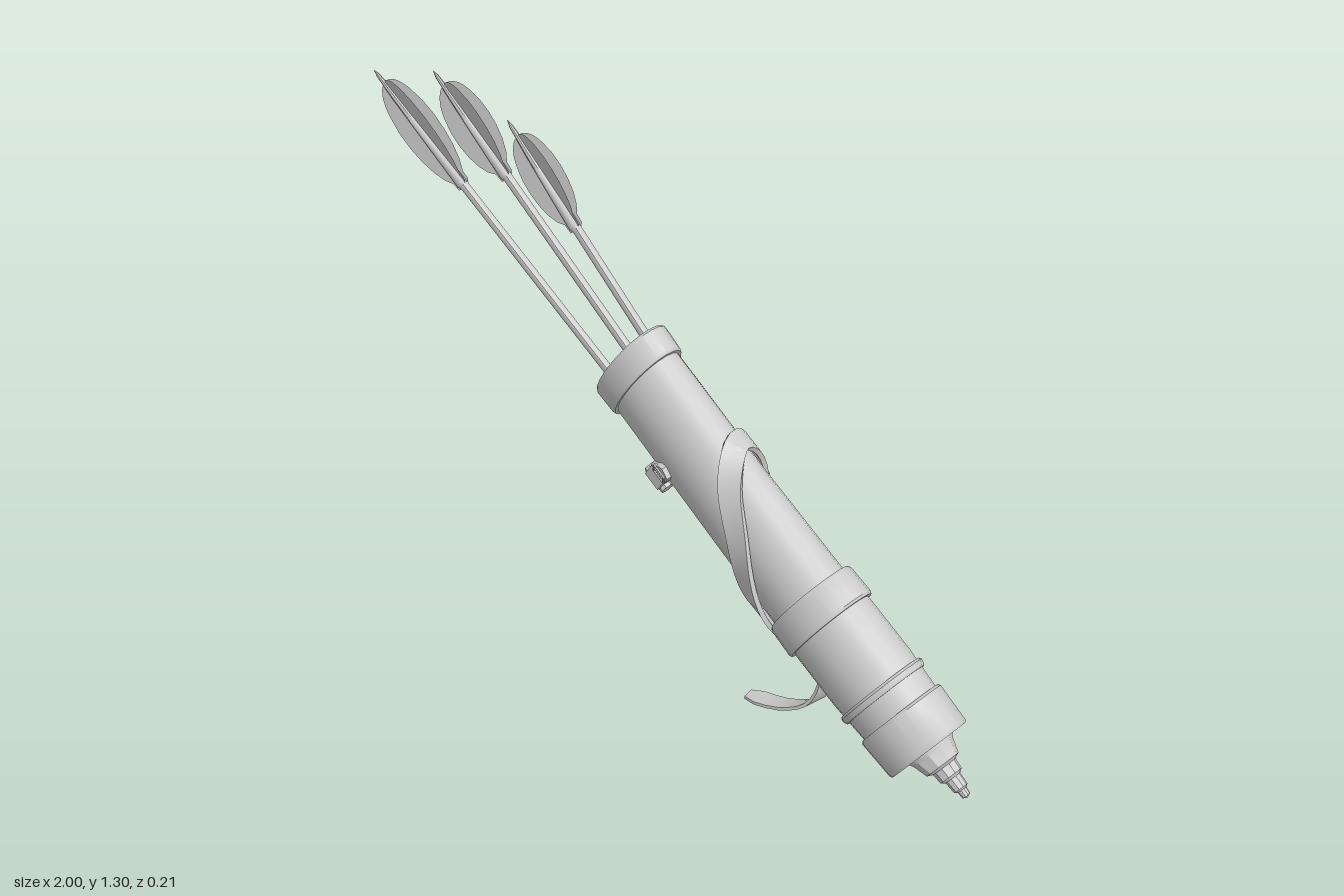
import * as THREE from 'three';
import { toCreasedNormals } from 'three/addons/utils/BufferGeometryUtils.js';

const V = (x, y, z) => new THREE.Vector3(x, y, z);
const mat = new THREE.MeshStandardMaterial({ color: 0xcccccc, side: THREE.DoubleSide });

function add(parent, name, geo, crease = 0.6) {
  const mesh = new THREE.Mesh(toCreasedNormals(geo, crease), mat);
  mesh.name = name;
  parent.add(mesh);
  return mesh;
}

// The quiver is oval: rounder at the base, flatter at the mouth
const flat = y => 0.82 - 0.2 * y / 1.12;
const sag = y => -0.008 * Math.sin(Math.PI * Math.min(Math.max(y / 1.1, 0), 1));

function ovalLathe(profile, segments = 22) {
  const geo = new THREE.LatheGeometry(profile.map(p => new THREE.Vector2(...p)), segments);
  const p = geo.attributes.position;
  for (let i = 0; i < p.count; i++) {
    const y = p.getY(i);
    p.setXYZ(i, p.getX(i) + sag(y), y, p.getZ(i) * flat(y));
  }
  return geo;
}

// Strip with a rectangular section swept along points, facing the given normals
function ribbon(points, normals, width, thick) {
  const pos = [], idx = [], n = points.length;
  points.forEach((p, i) => {
    const t = points[Math.min(i + 1, n - 1)].clone().sub(points[Math.max(i - 1, 0)]).normalize();
    const w = t.clone().cross(normals[i]).normalize();
    const up = w.clone().cross(t).normalize();
    const taper = i === 0 || i === n - 1 ? 0.6 : 1;
    for (const [a, b] of [[1, 1], [-1, 1], [-1, -1], [1, -1]]) {
      const c = p.clone().addScaledVector(w, a * taper * width / 2).addScaledVector(up, b * thick / 2);
      pos.push(c.x, c.y, c.z);
    }
  });
  for (let i = 0; i < n - 1; i++) {
    for (let j = 0; j < 4; j++) {
      const a = i * 4 + j, b = i * 4 + (j + 1) % 4;
      idx.push(a, a + 4, b, b, a + 4, b + 4);
    }
  }
  const e = (n - 1) * 4;
  idx.push(0, 1, 2, 0, 2, 3, e, e + 2, e + 1, e, e + 3, e + 2);
  const geo = new THREE.BufferGeometry();
  geo.setAttribute('position', new THREE.Float32BufferAttribute(pos, 3));
  geo.setIndex(idx);
  return geo;
}

// Point and outward normal on the quiver wall at angle a and height y
function onWall(a, y, r) {
  const k = flat(y);
  return [V(r * Math.cos(a) + sag(y), y, r * k * Math.sin(a)), V(Math.cos(a), 0, Math.sin(a) / k).normalize()];
}

// Strap lying on the wall through [angle, height] stations
function wallStrap(stations, r, width, thick, steps) {
  const curve = new THREE.CatmullRomCurve3(stations.map(([a, y]) => V(a, y, 0)));
  const pts = [], nor = [];
  for (let i = 0; i <= steps; i++) {
    const s = curve.getPoint(i / steps), [p, n] = onWall(s.x, s.y, r);
    pts.push(p);
    nor.push(n);
  }
  return ribbon(pts, nor, width, thick);
}

// Square buckle frame with a prong
function buckle(parent, a, y, r, size) {
  const g = new THREE.Group();
  g.name = 'buckle';
  const [p, n] = onWall(a, y, r);
  g.position.copy(p);
  g.quaternion.setFromUnitVectors(V(0, 0, 1), n);
  const frame = new THREE.TorusGeometry(size, size * 0.2, 6, 4);
  frame.rotateZ(Math.PI / 4);
  add(g, 'buckleFrame', frame);
  add(g, 'bucklePin', new THREE.BoxGeometry(size * 0.25, size * 1.5, size * 0.3));
  parent.add(g);
}

// Arrow from its hidden end to its nock, with leaf-shaped feathers
function arrow(parent, from, nock, vaneLength, halfWidth) {
  const g = new THREE.Group();
  g.name = 'arrow';
  const d = nock.clone().sub(from), L = d.length();
  g.position.copy(from);
  g.quaternion.setFromUnitVectors(V(0, 1, 0), d.normalize());
  const shaft = new THREE.LatheGeometry([
    [0, 0], [0.012, 0.005], [0.012, L - vaneLength - 0.05], [0.016, L - vaneLength - 0.04],
    [0.015, L - vaneLength], [0.009, L - 0.1], [0.005, L - 0.02], [0, L],
  ].map(p => new THREE.Vector2(...p)), 8);
  add(g, 'shaft', shaft, 0.9);

  const leaf = new THREE.Shape();
  leaf.moveTo(0, 0);
  leaf.lineTo(0.022, 0.005);
  leaf.lineTo(0.024, 0.03);
  leaf.bezierCurveTo(halfWidth * 0.9, vaneLength * 0.2, halfWidth * 1.2, vaneLength * 0.55, halfWidth * 0.85, vaneLength * 0.8);
  leaf.quadraticCurveTo(halfWidth * 0.65, vaneLength * 0.96, 0.012, vaneLength);
  leaf.lineTo(0, vaneLength);
  for (const angle of [-0.25, 0.25, Math.PI - 0.25, Math.PI + 0.25]) {
    const vane = add(g, 'feather', new THREE.ShapeGeometry(leaf, 6));
    vane.position.y = L - vaneLength - 0.05;
    vane.rotation.y = angle;
  }
  parent.add(g);
}

export function createModel() {
  const model = new THREE.Group();
  model.name = 'quiverWithArrows';

  // Quiver, built upright from the base and then leaned
  const quiver = new THREE.Group();
  quiver.name = 'quiver';
  quiver.position.set(0.88, 0.15, 0);
  quiver.rotation.z = 0.976;
  model.add(quiver);

  // Hollow case
  add(quiver, 'case', ovalLathe([
    [0, 0], [0.1, 0], [0.112, 0.1], [0.12, 0.2], [0.122, 0.34], [0.116, 0.44],
    [0.116, 0.7], [0.121, 1.1], [0.11, 1.1], [0.104, 0.6], [0, 0.6],
  ]));

  // Bands: [name, bottom, top, radius below, radius above]
  const bands = [
    ['baseCap', -0.002, 0.1, 0.117, 0.123],
    ['lowerBand', 0.15, 0.17, 0.126, 0.128],
    ['middleBand', 0.345, 0.425, 0.136, 0.134],
    ['mouthCollar', 1.05, 1.122, 0.134, 0.138],
  ];
  for (const [name, y0, y1, r0, r1] of bands) {
    add(quiver, name, ovalLathe([
      [0.1, y0], [r0 - 0.004, y0], [r0, y0 + 0.006], [r1, y1 - 0.006], [r1 - 0.004, y1],
      [name === 'mouthCollar' ? 0.116 : 0.1, y1], [0.108, y0 + 0.002],
    ]));
  }

  // Stepped finial under the base
  add(quiver, 'finial', new THREE.LatheGeometry([
    [0, -0.132], [0.01, -0.128], [0.012, -0.112], [0.018, -0.108], [0.02, -0.08], [0.029, -0.074],
    [0.031, -0.05], [0.044, -0.044], [0.054, -0.012], [0.062, 0.002],
  ].map(p => new THREE.Vector2(...p)), 10)).position.x = 0.008;

  // Long strap: end on the back, over the top and diagonally across the front
  add(quiver, 'longStrap', wallStrap(
    [[-1.75, 0.7], [-0.8, 0.77], [0, 0.79], [0.8, 0.72], [1.4, 0.61], [2.1, 0.51], [2.7, 0.44], [3.5, 0.37]],
    0.129, 0.055, 0.012, 32));
  buckle(quiver, -1.4, 0.73, 0.137, 0.026);

  // Short strap below the mouth with its buckles and keeper
  add(quiver, 'shortStrap', wallStrap([[1.95, 0.85], [2.5, 0.88], [3.2, 0.88], [4.3, 0.87]], 0.125, 0.045, 0.014, 14));
  buckle(quiver, 2.2, 0.865, 0.132, 0.026);
  buckle(quiver, 4.05, 0.875, 0.132, 0.028);
  const keeper = add(quiver, 'strapKeeper', new THREE.BoxGeometry(0.045, 0.05, 0.05));
  keeper.position.set(-0.15, 0.88, 0.01);
  const knob = add(quiver, 'strapKnob', new THREE.CylinderGeometry(0.018, 0.018, 0.07, 8));
  knob.position.set(-0.168, 0.88, 0.01);

  // Loose strap end hanging below
  const curve = new THREE.CatmullRomCurve3([
    V(0.48, 0.25, -0.03), V(0.53, 0.215, -0.04), V(0.55, 0.14, -0.05), V(0.52, 0.06, -0.04),
    V(0.45, 0.022, -0.02), V(0.35, 0.008, 0),
  ]);
  const pts = curve.getPoints(16);
  const nor = pts.map((p, i) => {
    const t = curve.getTangent(i / 16);
    return V(-t.y, t.x, 0.35 * (1 - i / 16)).normalize();
  });
  add(model, 'strapTail', ribbon(pts, nor, 0.052, 0.008));

  // Arrows
  arrow(model, V(0.1, 0.57, -0.005), V(-1.0, 1.246, -0.028), 0.36, 0.062);
  arrow(model, V(0.3, 0.52, -0.005), V(-0.757, 1.305, -0.025), 0.29, 0.066);
  arrow(model, V(0.15, 0.71, -0.01), V(-0.484, 1.251, -0.022), 0.27, 0.06);

  return model;
}
